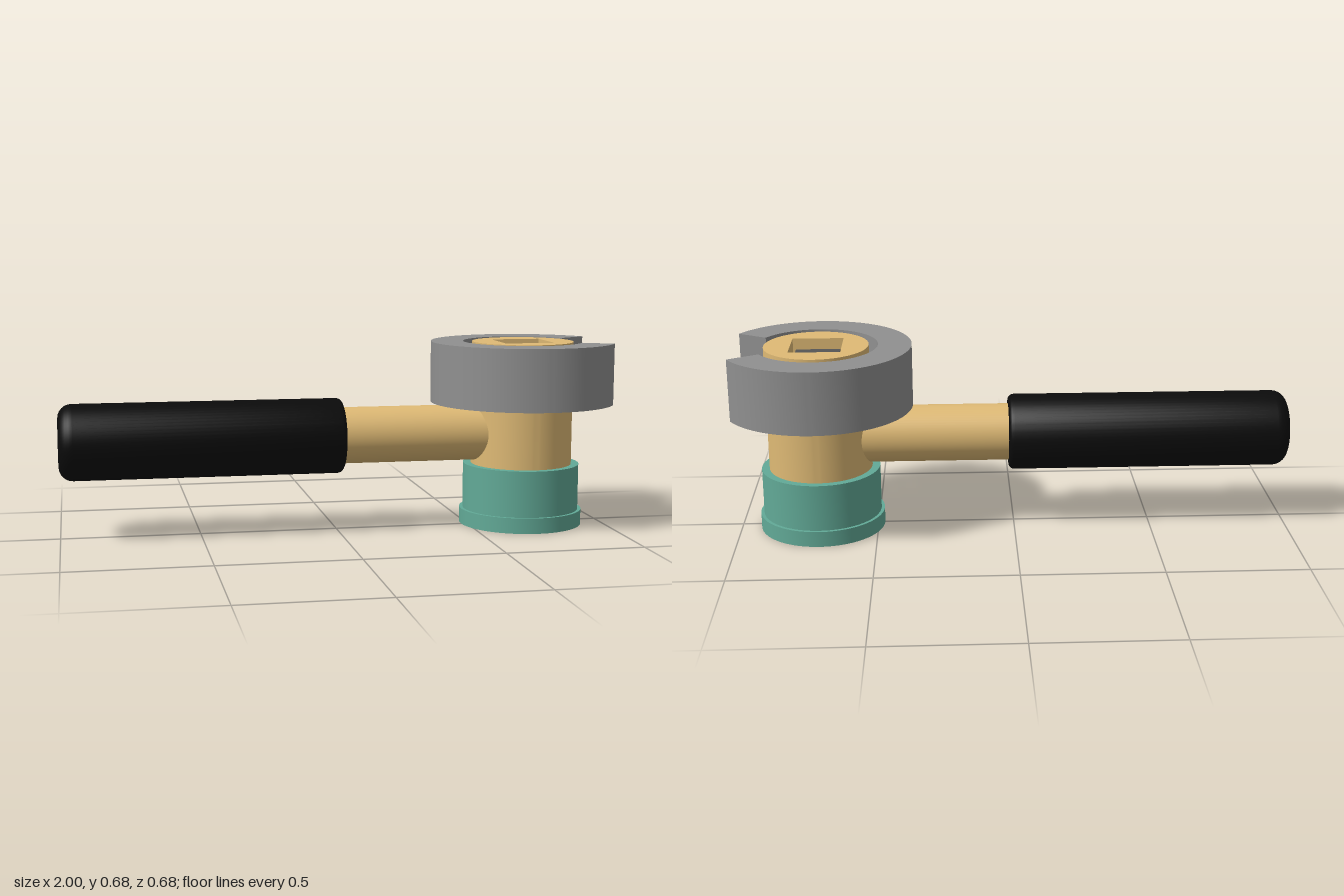
import * as THREE from 'three';
import { toCreasedNormals } from 'three/addons/utils/BufferGeometryUtils.js';

const HEAD_X = 0.704; // axis of the head
const ROD_Y = 0.347; // axis of the handle

const paint = (color) => new THREE.MeshStandardMaterial({ color });
const wood = paint(0xdfba75);
const teal = paint(0x62aa97);
const steel = paint(0x909090);
const darkSteel = paint(0x555555);
const black = paint(0x0b0b0b);

function part(name, geometry, material, x, y) {
  const mesh = new THREE.Mesh(geometry, material);
  mesh.name = name;
  mesh.position.set(x, y, 0);
  return mesh;
}

// Extrudes a plan outline upwards, with smooth curved walls and sharp edges.
function extrudeUp(shape, height) {
  const geometry = new THREE.ExtrudeGeometry(shape, { depth: height, bevelEnabled: false, curveSegments: 64 });
  geometry.rotateX(-Math.PI / 2);
  return toCreasedNormals(geometry, 0.5);
}

// Adds a rounded corner to a lathe profile.
function corner(points, cx, cy, r, from) {
  for (let i = 0; i <= 6; i++) {
    const a = from + (i / 6) * Math.PI / 2;
    points.push(new THREE.Vector2(cx + r * Math.cos(a), cy + r * Math.sin(a)));
  }
}

export function createModel() {
  const model = new THREE.Group();
  model.name = 'handTool';

  // Base cap with a lip, turned as one solid
  const profile = [[0, 0], [0.227, 0], [0.227, 0.057], [0.215, 0.057], [0.215, 0.227], [0, 0.227]]
    .map(([r, y]) => new THREE.Vector2(r, y));
  model.add(part('baseCap', toCreasedNormals(new THREE.LatheGeometry(profile, 96), 0.5), teal, HEAD_X, 0));

  // Hub with a square socket running down to the cap
  const hub = new THREE.Shape().absarc(0, 0, 0.187, 0, Math.PI * 2, false);
  const s = 0.092;
  hub.holes.push(new THREE.Path([[-s, -s], [-s, s], [s, s], [s, -s]].map(([x, y]) => new THREE.Vector2(x, y))));
  model.add(part('hub', extrudeUp(hub, 0.455), wood, HEAD_X, 0.227));

  // Square pin sitting just below the socket's mouth
  model.add(part('squarePin', new THREE.BoxGeometry(0.16, 0.418, 0.16), darkSteel, HEAD_X, 0.436));

  // Open ring, its gap facing away from the handle
  const gap = Math.PI / 6;
  const ring = new THREE.Shape();
  ring.absarc(0, 0, 0.34, gap, Math.PI * 2 - gap, false);
  ring.absarc(0, 0, 0.22, Math.PI * 2 - gap, gap, true);
  ring.closePath();
  model.add(part('openRing', extrudeUp(ring, 0.225), steel, HEAD_X, 0.457));

  // Handle rod, ending at the hub's axis
  const rod = new THREE.CylinderGeometry(0.103, 0.103, 0.8, 64);
  rod.rotateZ(-Math.PI / 2);
  model.add(part('handleRod', rod, wood, HEAD_X - 0.4, ROD_Y));

  // Grip, more rounded at its outer end
  const R = 0.137;
  const length = 1.02;
  const grip = [new THREE.Vector2(0, 0)];
  corner(grip, R - 0.05, 0.05, 0.05, -Math.PI / 2);
  corner(grip, R - 0.02, length - 0.02, 0.02, 0);
  grip.push(new THREE.Vector2(0, length));
  const gripGeometry = toCreasedNormals(new THREE.LatheGeometry(grip, 64), 0.5);
  gripGeometry.rotateZ(-Math.PI / 2);
  model.add(part('grip', gripGeometry, black, -1, ROD_Y));

  return model;
}
